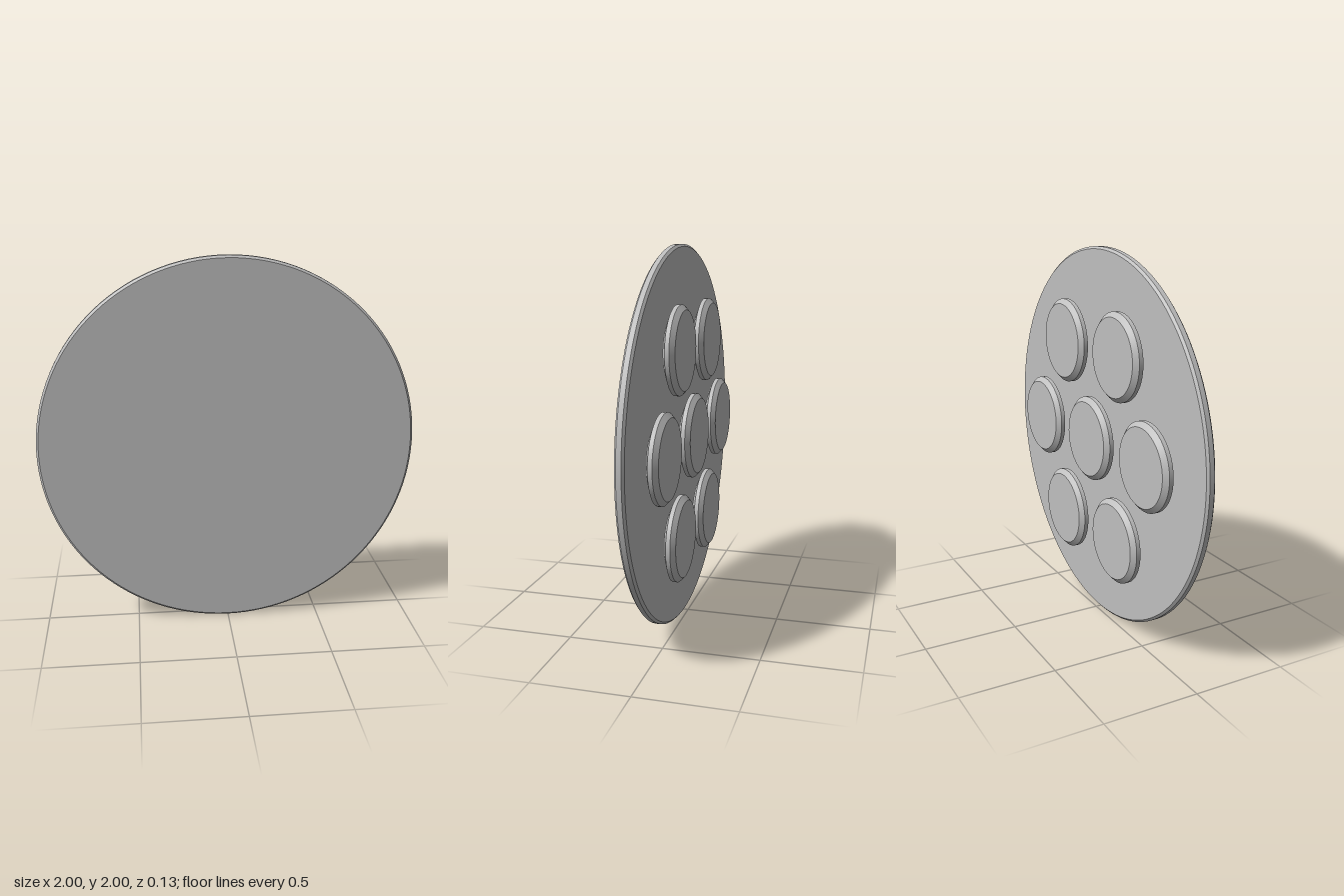
import * as THREE from 'three';
import { toCreasedNormals } from 'three/addons/utils/BufferGeometryUtils.js';

// Solid of revolution around z from [radius, z] pairs, ordered back to front
function turned(profile, segments) {
  const points = profile.map(([r, z]) => new THREE.Vector2(r, z));
  const geometry = new THREE.LatheGeometry(points, segments);
  geometry.rotateX(Math.PI / 2);
  return toCreasedNormals(geometry, 0.3);
}

export function createModel() {
  const model = new THREE.Group();
  const grey = new THREE.MeshStandardMaterial({ color: 0xbfbfbf });
  grey.name = 'plain grey';

  // Large thin disc with chamfered rims
  const disc = new THREE.Mesh(turned([
    [0, 0.018], [0.988, 0.018], [1, 0.029], [1, 0.054], [0.988, 0.065], [0, 0.065],
  ], 128), grey);
  disc.name = 'frontDisc';
  disc.position.y = 1;
  model.add(disc);

  // Bevelled pads behind the disc: one in the middle, six in a ring
  const padGeometry = turned([
    [0, -0.065], [0.2, -0.065], [0.225, -0.042], [0.225, -0.02], [0.165, 0.006], [0, 0.006],
  ], 64);
  const pads = new THREE.Group();
  pads.name = 'backPads';
  pads.position.y = 1;
  for (let i = 0; i < 7; i++) {
    const pad = new THREE.Mesh(padGeometry, grey);
    const radius = i === 0 ? 0 : 0.56;
    const angle = i * Math.PI / 3;
    pad.name = i === 0 ? 'centrePad' : `ringPad${i}`;
    pad.position.set(radius * Math.cos(angle), radius * Math.sin(angle), 0);
    pads.add(pad);
  }
  model.add(pads);
  return model;
}
